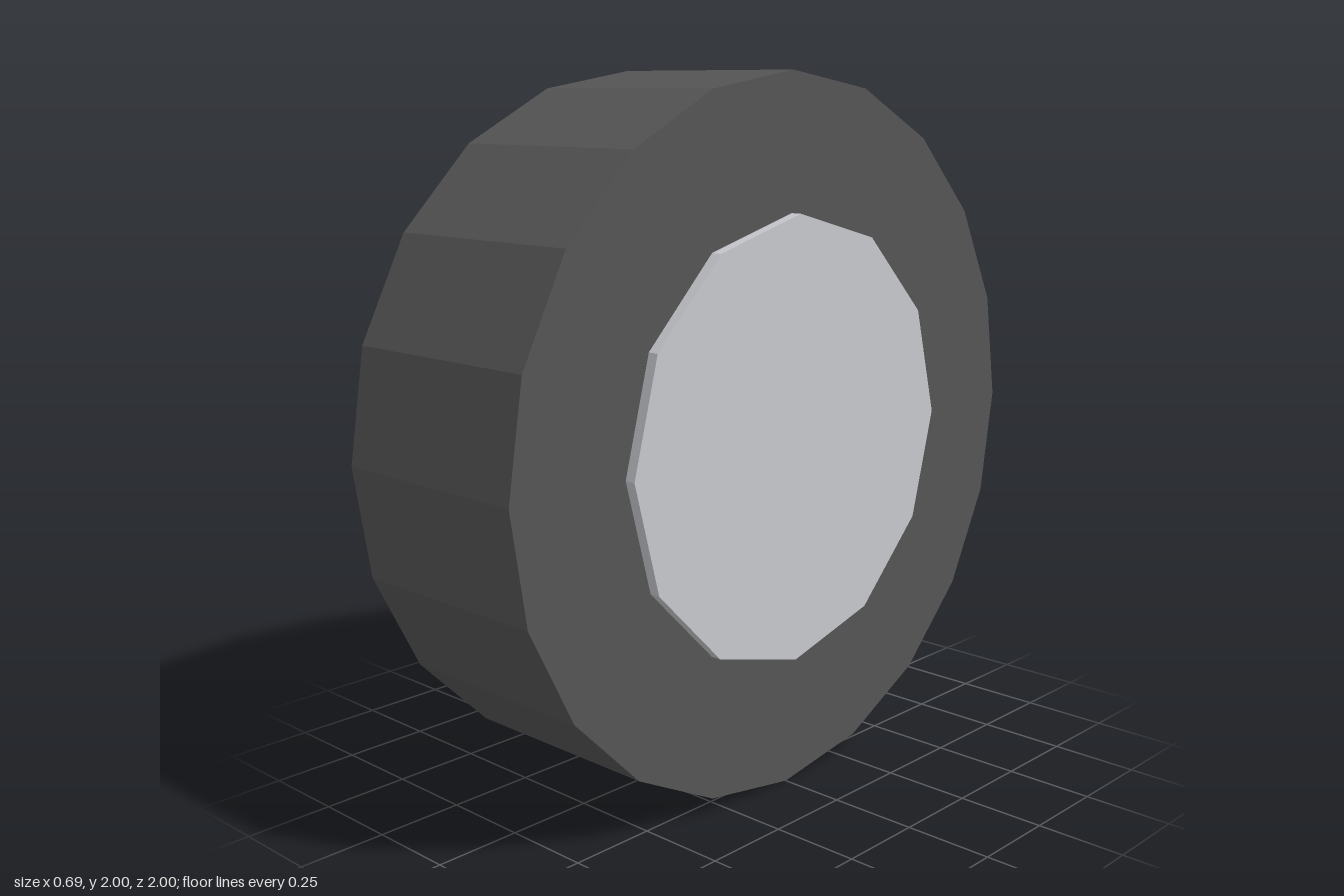
import * as THREE from 'three';

// Faceted disc lying along the x axis, with a corner pointing straight up
function disc(name, radius, width, sides, color) {
  const geometry = new THREE.CylinderGeometry(radius, radius, width, sides);
  geometry.rotateZ(Math.PI / 2);
  const material = new THREE.MeshStandardMaterial({ color, flatShading: true });
  const mesh = new THREE.Mesh(geometry, material);
  mesh.name = name;
  mesh.position.y = 1;
  return mesh;
}

export function createModel() {
  const wheel = new THREE.Group();
  wheel.name = 'wheel';
  wheel.add(
    disc('tire', 1, 0.625, 20, 0x555555),
    // The hub runs through the tire and stands slightly proud on both sides
    disc('hub', 0.625, 0.6875, 12, 0xc6c8cc),
  );
  return wheel;
}
